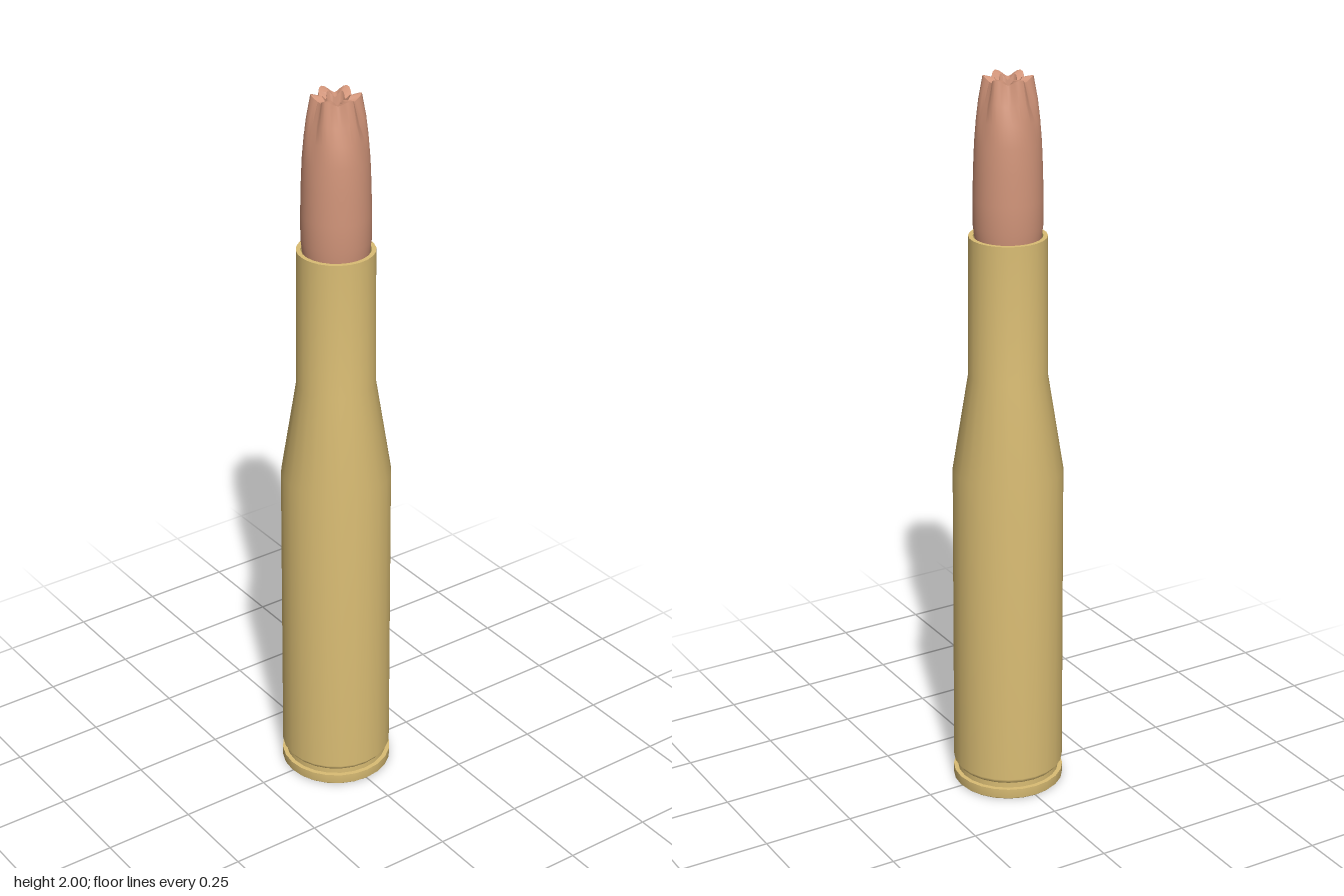
import * as THREE from 'three';
import { mergeVertices, toCreasedNormals } from 'three/addons/utils/BufferGeometryUtils.js';

const SIDES = 24;
const brass = new THREE.MeshStandardMaterial({ name: 'brass', color: 0xdabd74 });
const copper = new THREE.MeshStandardMaterial({ name: 'copper', color: 0xd2957a });

// Turned solid from [radius, height] pairs, listed from the bottom up
function turned(points, sides = SIDES) {
  return new THREE.LatheGeometry(points.map(([r, y]) => new THREE.Vector2(r, y)), sides);
}

function part(name, geometry, material) {
  const mesh = new THREE.Mesh(geometry, material);
  mesh.name = name;
  return mesh;
}

// Bullet with a six-lobed, hollow tip
function bulletGeometry() {
  const geo = turned([
    [0.08, 1.52], [0.086, 1.57], [0.091, 1.61], [0.091, 1.68], [0.089, 1.76], [0.086, 1.83],
    [0.081, 1.89], [0.075, 1.94], [0.064, 2.0],
    [0.036, 1.995], [0.03, 1.96], [0.022, 1.92], [0, 1.9],
  ], 48);
  const pos = geo.attributes.position;
  for (let i = 0; i < pos.count; i++) {
    const x = pos.getX(i), y = pos.getY(i), z = pos.getZ(i);
    // Notches fall between the lobes and deepen toward the tip
    const notch = 0.5 - 0.5 * Math.cos(6 * Math.atan2(z, x));
    const depth = notch * THREE.MathUtils.smoothstep(y, 1.86, 2.0);
    const s = 1 - 0.24 * depth;
    pos.setXYZ(i, x * s, y - 0.015 * depth, z * s);
  }
  geo.deleteAttribute('normal');
  geo.deleteAttribute('uv');
  return toCreasedNormals(mergeVertices(geo, 1e-5), 0.8);
}

export function createModel() {
  const group = new THREE.Group();
  group.name = 'cartridge';

  // Case: body, shoulder and neck
  group.add(part('caseBody', turned([
    [0.14, 0.045], [0.151, 0.06], [0.148, 0.93], [0.105, 1.2], [0.103, 1.58],
  ]), brass));
  group.add(part('caseMouth', turned([[0.103, 1.58], [0.091, 1.58]]), brass));
  group.add(part('caseMouthInside', turned([[0.091, 1.58], [0.091, 1.5]]), brass));

  // Extractor groove, rim and flat base
  group.add(part('extractorGroove', turned([[0.14, 0.028], [0.14, 0.045]]), brass));
  group.add(part('rimTop', turned([[0.152, 0.03], [0.138, 0.03]]), brass));
  group.add(part('rim', turned([[0.148, 0], [0.152, 0.004], [0.152, 0.03]]), brass));
  group.add(part('base', turned([[0, 0], [0.148, 0]]), brass));

  group.add(part('bullet', bulletGeometry(), copper));
  return group;
}
